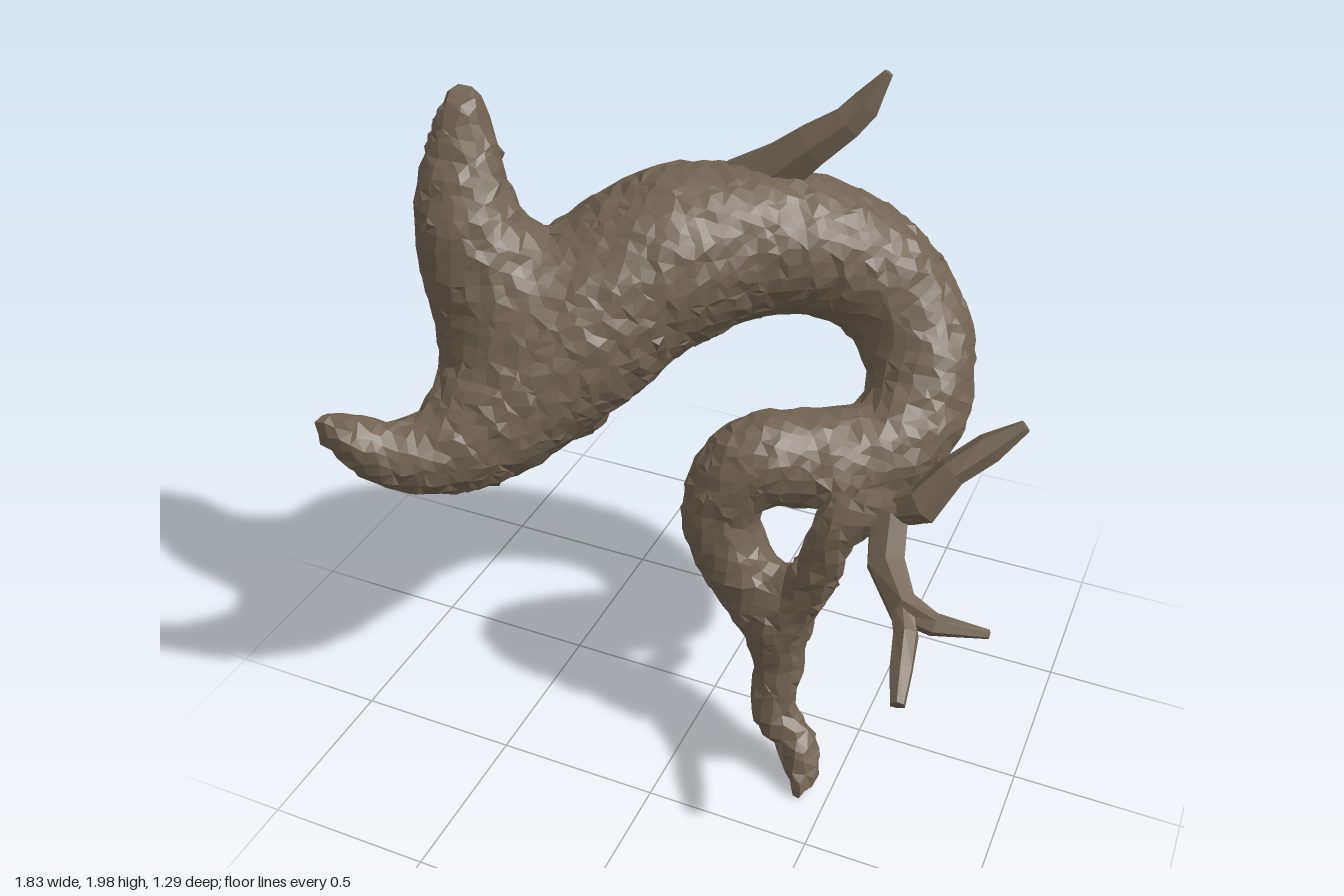
import * as THREE from 'three';

const bark = new THREE.MeshStandardMaterial({ color: 0x706353, flatShading: true });
bark.name = 'brown bark';

function seeded(seed) {
  let s = seed;
  return () => ((s = (s * 16807) % 2147483647) / 2147483647);
}

function barkMesh(name, pos, index) {
  const geo = new THREE.BufferGeometry();
  geo.setAttribute('position', new THREE.Float32BufferAttribute(pos, 3));
  geo.setIndex(index);
  geo.computeVertexNormals();
  const mesh = new THREE.Mesh(geo, bark);
  mesh.name = name;
  return mesh;
}

const curveThrough = stations =>
  new THREE.CatmullRomCurve3(stations.map(s => new THREE.Vector3(s[0], s[1], s[2])));

// Thin twig: a closed, tapering tube through stations [x, y, z, radius]
function twig(name, stations, seed) {
  const rand = seeded(seed), curve = curveThrough(stations);
  const sides = 6, rings = stations.length - 1, pos = [], index = [];
  const n = new THREE.Vector3(0.31, 0.2, 0.93), b = new THREE.Vector3();
  for (let i = 0; i <= rings; i++) {
    const p = curve.getPoint(i / rings), tan = curve.getTangent(i / rings);
    n.addScaledVector(tan, -n.dot(tan)).normalize();
    b.crossVectors(tan, n);
    for (let j = 0; j < sides; j++) {
      const a = (j / sides) * Math.PI * 2, r = stations[i][3] * (0.95 + rand() * 0.2);
      const v = p.clone().addScaledVector(n, Math.cos(a) * r).addScaledVector(b, Math.sin(a) * r);
      pos.push(v.x, v.y, v.z);
    }
  }
  for (let i = 0; i < rings; i++) {
    for (let j = 0; j < sides; j++) {
      const a = i * sides + j, c = i * sides + ((j + 1) % sides);
      index.push(a, c, a + sides, c, c + sides, a + sides);
    }
  }
  const end = rings * sides;
  for (let j = 1; j < sides - 1; j++) index.push(0, j + 1, j, end, end + j, end + j + 1);
  return barkMesh(name, pos, index);
}

// Splits a limb into short cones for measuring distance
function cones(stations, perSpan = 3) {
  const curve = curveThrough(stations), count = (stations.length - 1) * perSpan, out = [];
  const at = i => {
    const k = Math.min(Math.floor(i / perSpan), stations.length - 2);
    return { p: curve.getPoint(i / count),
      r: THREE.MathUtils.lerp(stations[k][3], stations[k + 1][3], i / perSpan - k) };
  };
  for (let i = 0; i < count; i++) out.push([at(i), at(i + 1)]);
  return out;
}

function limbDistance(limb, x, y, z) {
  let best = 9;
  for (const [a, b] of limb) {
    const dx = b.p.x - a.p.x, dy = b.p.y - a.p.y, dz = b.p.z - a.p.z;
    const ex = x - a.p.x, ey = y - a.p.y, ez = z - a.p.z;
    const t = THREE.MathUtils.clamp(
      (ex * dx + ey * dy + ez * dz) / (dx * dx + dy * dy + dz * dz), 0, 1);
    const d = Math.hypot(ex - dx * t, ey - dy * t, ez - dz * t) - a.r - (b.r - a.r) * t;
    if (d < best) best = d;
  }
  return best;
}

// One skin over several limbs, with soft joints of width blend
function fusedLimbs(name, limbs, low, high, cell, blend) {
  const rand = seeded(19);
  const size = low.map((l, i) => Math.ceil((high[i] - l) / cell) + 1);
  const step = [1, size[0], size[0] * size[1]];
  const field = new Float32Array(step[2] * size[2]), vertex = new Int32Array(field.length);
  const parts = limbs.map(l => cones(l)), pos = [], index = [];
  const eachCell = (margin, visit) => {
    for (let k = margin; k < size[2] - margin; k++)
      for (let j = margin; j < size[1] - margin; j++)
        for (let i = margin; i < size[0] - margin; i++)
          visit([i, j, k], i + j * step[1] + k * step[2]);
  };
  eachCell(0, (c, id) => {
    const [x, y, z] = c.map((v, i) => low[i] + v * cell);
    field[id] = parts.map(l => limbDistance(l, x, y, z)).reduce((a, b) => {
      const h = Math.max(blend - Math.abs(a - b), 0);
      return Math.min(a, b) - (h * h) / (4 * blend);
    });
  });
  // A vertex in every cell that the skin crosses
  eachCell(1, (c, id) => {
    const sum = [0, 0, 0];
    let hits = 0;
    for (let a = 0; a < 3; a++) {
      const u = (a + 1) % 3, v = (a + 2) % 3;
      for (let m = 0; m < 4; m++) {
        const mu = m & 1, mv = m >> 1, s = id + mu * step[u] + mv * step[v];
        const f0 = field[s], f1 = field[s + step[a]];
        if (f0 < 0 === f1 < 0) continue;
        sum[a] += f0 / (f0 - f1);
        sum[u] += mu;
        sum[v] += mv;
        hits++;
      }
    }
    if (!hits) return;
    vertex[id] = pos.length / 3;
    for (let a = 0; a < 3; a++)
      pos.push(low[a] + (c[a] + sum[a] / hits + (rand() - 0.5) * 0.3) * cell);
  });
  // A quad across every grid edge that the skin crosses
  eachCell(2, (c, id) => {
    for (let a = 0; a < 3; a++) {
      const inside = field[id] < 0;
      if (inside === field[id + step[a]] < 0) continue;
      const u = step[(a + 1) % 3], v = step[(a + 2) % 3];
      const q = [id - u - v, id - v, id, id - u].map(n => vertex[n]);
      if (!inside) q.reverse();
      index.push(q[0], q[1], q[2], q[0], q[2], q[3]);
    }
  });
  return barkMesh(name, pos, index);
}

// Front stump swelling into a thick arch that curls under and thins into the foot
const trunk = [
  [-0.88, 1.2, 0.61, 0.05], [-0.79, 1.08, 0.53, 0.09], [-0.66, 1.05, 0.41, 0.13],
  [-0.56, 1.12, 0.25, 0.195], [-0.42, 1.29, 0.04, 0.25], [-0.22, 1.46, -0.19, 0.25],
  [0.02, 1.49, -0.35, 0.215], [0.25, 1.43, -0.44, 0.19], [0.41, 1.29, -0.46, 0.175],
  [0.51, 1.12, -0.36, 0.155], [0.47, 0.98, -0.19, 0.15], [0.3, 0.98, -0.06, 0.15],
  [0.13, 1.0, 0.06, 0.13], [0.06, 0.83, 0.11, 0.115], [0.13, 0.68, 0.13, 0.11],
  [0.25, 0.53, 0.145, 0.1], [0.28, 0.36, 0.165, 0.08], [0.28, 0.21, 0.21, 0.068],
  [0.38, 0.13, 0.24, 0.065], [0.41, 0.06, 0.29, 0.05], [0.42, 0.03, 0.34, 0.03],
];
const upperStump = [
  [-0.73, 1.93, 0.03, 0.06], [-0.73, 1.78, 0.06, 0.11], [-0.69, 1.6, 0.12, 0.155],
  [-0.63, 1.42, 0.1, 0.2], [-0.6, 1.25, 0.08, 0.21], [-0.6, 1.1, 0.06, 0.16],
];
const lowerStump = [
  [-0.2, 1.47, -0.23, 0.22], [-0.4, 1.34, -0.18, 0.235], [-0.55, 1.14, -0.16, 0.22],
  [-0.61, 0.97, -0.21, 0.185], [-0.63, 0.84, -0.26, 0.15], [-0.63, 0.79, -0.26, 0.09],
];
// Branch that rises from the foot to its fork
const sideBranch = [
  [0.26, 0.54, 0.15, 0.08], [0.36, 0.69, 0.16, 0.075], [0.41, 0.84, 0.17, 0.07],
  [0.46, 0.96, 0.14, 0.07], [0.56, 0.99, 0.11, 0.06], [0.65, 1.03, 0.11, 0.05],
];

export function createModel() {
  const g = new THREE.Group();
  g.name = 'driftwood';
  g.add(
    fusedLimbs('trunk', [trunk, upperStump, lowerStump, sideBranch],
      [-1.06, -0.14, -0.8], [0.84, 2.14, 0.8], 0.042, 0.09),
    // Kinked twig on top of the arch
    twig('topTwig', [
      [-0.1, 1.64, -0.37, 0.07], [0.03, 1.7, -0.4, 0.075], [0.12, 1.78, -0.41, 0.06],
      [0.21, 1.85, -0.44, 0.05], [0.25, 1.9, -0.47, 0.045], [0.305, 1.99, -0.49, 0.014],
    ], 53),
    // Tips of the side branch
    twig('branchTip', [
      [0.6, 1.01, 0.11, 0.05], [0.66, 1.04, 0.11, 0.055], [0.72, 1.13, 0.06, 0.042],
      [0.8, 1.19, 0.0, 0.042], [0.88, 1.26, -0.04, 0.018],
    ], 61),
    twig('sideTwig', [
      [0.57, 0.99, 0.12, 0.055], [0.59, 0.88, 0.2, 0.055], [0.68, 0.84, 0.31, 0.045],
      [0.77, 0.82, 0.32, 0.032], [0.91, 0.79, 0.27, 0.012],
    ], 71),
    twig('sideTwigFork', [
      [0.67, 0.85, 0.29, 0.035], [0.71, 0.81, 0.38, 0.035], [0.73, 0.77, 0.47, 0.03],
      [0.75, 0.73, 0.56, 0.02],
    ], 83),
  );
  return g;
}
